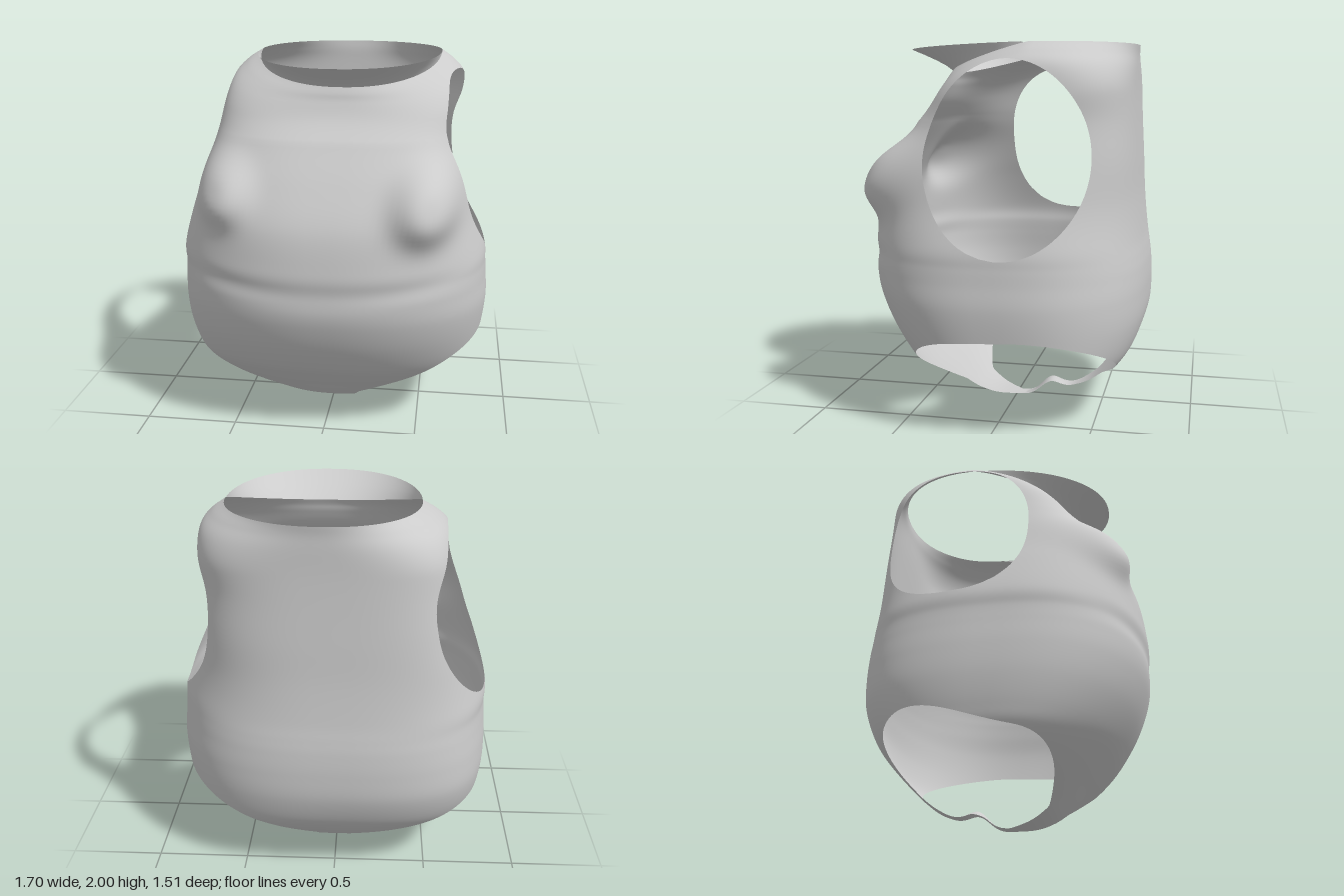
import * as THREE from 'three';
import { mergeVertices } from 'three/addons/utils/BufferGeometryUtils.js';

const { smoothstep, lerp } = THREE.MathUtils;

// Cross-sections from crotch to neck: height, centre x, half width, front z, back z
const SECTIONS = [
  [0.0, 0, 0.002, -0.049, -0.051],
  [0.02, 0, 0.2, 0.1, -0.2],
  [0.06, 0, 0.32, 0.2, -0.3],
  [0.12, 0, 0.48, 0.28, -0.42],
  [0.2, 0, 0.65, 0.37, -0.52],
  [0.3, 0.01, 0.775, 0.48, -0.62],
  [0.4, 0.01, 0.815, 0.575, -0.69],
  [0.55, 0.01, 0.84, 0.67, -0.74],
  [0.7, 0.015, 0.848, 0.73, -0.75],
  [0.82, 0.015, 0.84, 0.752, -0.745],
  [0.9, 0.015, 0.835, 0.752, -0.735],
  [1.0, 0.01, 0.83, 0.75, -0.72],
  [1.2, 0.01, 0.77, 0.715, -0.7],
  [1.4, 0.025, 0.71, 0.615, -0.69],
  [1.6, 0.035, 0.67, 0.49, -0.68],
  [1.75, 0.05, 0.66, 0.405, -0.675],
  [1.88, 0.06, 0.635, 0.36, -0.675],
  [1.95, 0.065, 0.575, 0.345, -0.675],
  [2.0, 0.07, 0.5, 0.33, -0.68],
];
const spline = (f) =>
  new THREE.CatmullRomCurve3(SECTIONS.map((s) => new THREE.Vector3(...f(s))), false, 'catmullrom', 0.5);
const widthCurve = spline((s) => [s[0], s[1], s[2]]);
const depthCurve = spline((s) => [s[3], s[4], 0]);

const gauss = (d) => Math.exp(-d * d);
const dome = (dx, dy) => Math.exp(-(Math.hypot(dx, dy) ** 3));
const spow = (v, p) => Math.sign(v) * Math.abs(v) ** p;

// Point on the torso: t runs up the body, angle runs around it from the front
function torsoPoint(t, angle) {
  const { x: y0, y: cx, z: half } = widthCurve.getPoint(t);
  const { x: zf, y: zb } = depthCurve.getPoint(t);
  const front = Math.max(0, Math.cos(angle));
  // squarer shoulders and back, rounder neck and belly
  const neck = smoothstep(y0, 1.75, 2);
  const squareness = 2.62 - 0.25 * Math.cos(angle) * (1 - neck) + 0.55 * smoothstep(y0, 1.0, 1.5) - neck;
  const power = 2 / squareness;
  let x = cx + half * spow(Math.sin(angle), power);
  let z = (zf + zb) / 2 + ((zf - zb) / 2) * spow(Math.cos(angle), power);
  // neckline dips at the front
  let y = y0 - 0.14 * Math.max(0, (y0 - 1.6) / 0.4) * front;
  if (z > 0) {
    // chest bumps
    const bump =
      0.125 * dome((x - 0.53) / 0.16, (y - 1.32) / 0.18) + 0.1 * dome((x + 0.52) / 0.16, (y - 1.36) / 0.16);
    z += bump;
    x += 0.2 * bump * Math.sign(x);
    // belly crease
    z -= 0.01 * front * gauss((y - 0.86 - 0.2 * x * x) / 0.06);
  } else {
    // slightly skewed back
    z += 0.035 * x * smoothstep(-z, 0.2, 0.6) * smoothstep(y0, 0.2, 0.6);
  }
  // small fold in the crotch strip
  if (y < 0.3) y += 0.09 * gauss((z + 0.2) / 0.08) * gauss(x / 0.08);
  return new THREE.Vector3(x, y, z);
}

// Positive where cloth remains, negative inside an arm or leg opening
function keep({ x, y, z }) {
  const left = x > 0;
  const ax = Math.abs(x);
  const [cz, rz, cy, ry, n] = left ? [-0.08, 0.42, 1.43, 0.485, 2] : [-0.22, 0.39, 1.455, 0.45, 2.4];
  const reach = (Math.abs((z - cz) / rz) ** n + Math.abs((y - cy) / ry) ** n) ** (1 / n);
  const arm = ax < 0.3 ? 1 : (reach - 1) * 0.4;
  const b = smoothstep(z, -0.5, 0.1);
  const inner = left ? lerp(-0.2, 0.04, b) : lerp(-0.2, 0.1, b);
  const slope = left ? lerp(0.48, 0.61, b) : 0.41;
  const leg = y - (0.04 + slope * (ax - inner));
  // crotch strip widens towards the front and back
  const strip = 0.04 + (left ? 0.45 : 0.65) * Math.max(0, z + 0.02) + 0.4 * Math.max(0, -z - 0.35);
  return Math.min(arm, y > 0.7 ? 1 : Math.max(leg, Math.min(strip, 0.3) - ax));
}

// Adds a triangle trimmed along the edge of the openings
function addTrimmed(out, corners) {
  const poly = [];
  corners.forEach((p, i) => {
    const q = corners[(i + 1) % 3];
    const a = keep(p);
    const b = keep(q);
    if (a >= 0) poly.push(p);
    if (a >= 0 !== b >= 0) poly.push(p.clone().lerp(q, a / (a - b)));
  });
  for (let i = 2; i < poly.length; i++) {
    for (const p of [poly[0], poly[i - 1], poly[i]]) out.push(p.x, p.y, p.z);
  }
}

// Skins a grid of rings, closed around the body
function skin(rings, add) {
  const out = [];
  const n = rings[0].length;
  for (let i = 0; i < rings.length - 1; i++) {
    for (let j = 0; j < n; j++) {
      const k = (j + 1) % n;
      const [a, b, c, d] = [rings[i][j], rings[i][k], rings[i + 1][k], rings[i + 1][j]];
      add(out, [a, b, c]);
      add(out, [a, c, d]);
    }
  }
  let geometry = new THREE.BufferGeometry();
  geometry.setAttribute('position', new THREE.Float32BufferAttribute(out, 3));
  geometry = mergeVertices(geometry, 1e-4);
  geometry.computeVertexNormals();
  return geometry;
}

export function createModel() {
  const group = new THREE.Group();
  group.name = 'torsoGarment';
  const material = new THREE.MeshStandardMaterial({ color: 0xcccccc, side: THREE.DoubleSide });
  const around = 144;
  const up = 144;
  const ring = (f) => Array.from({ length: around }, (_, j) => f((j / around) * Math.PI * 2));

  // torso shell with neck, arm and leg openings
  const rings = [];
  for (let i = 0; i <= up; i++) rings.push(ring((angle) => torsoPoint(i / up, angle)));
  const torso = new THREE.Mesh(skin(rings, addTrimmed), material);
  torso.name = 'torsoShell';
  group.add(torso);

  // collar lip flaring forward from the front of the neckline
  const lip = [0, 0.25, 0.5, 0.75, 1].map((s) =>
    ring((angle) => {
      const p = torsoPoint(1, angle);
      const front = Math.max(0, Math.cos(angle));
      p.z += 0.24 * front * s ** 1.3;
      p.y += 0.12 * front * s;
      return p;
    })
  );
  const addPlain = (out, corners) => {
    if (corners.every((p) => p.z > -0.17)) corners.forEach((p) => out.push(p.x, p.y, p.z));
  };
  const collar = new THREE.Mesh(skin(lip, addPlain), material);
  collar.name = 'collarLip';
  group.add(collar);

  return group;
}
